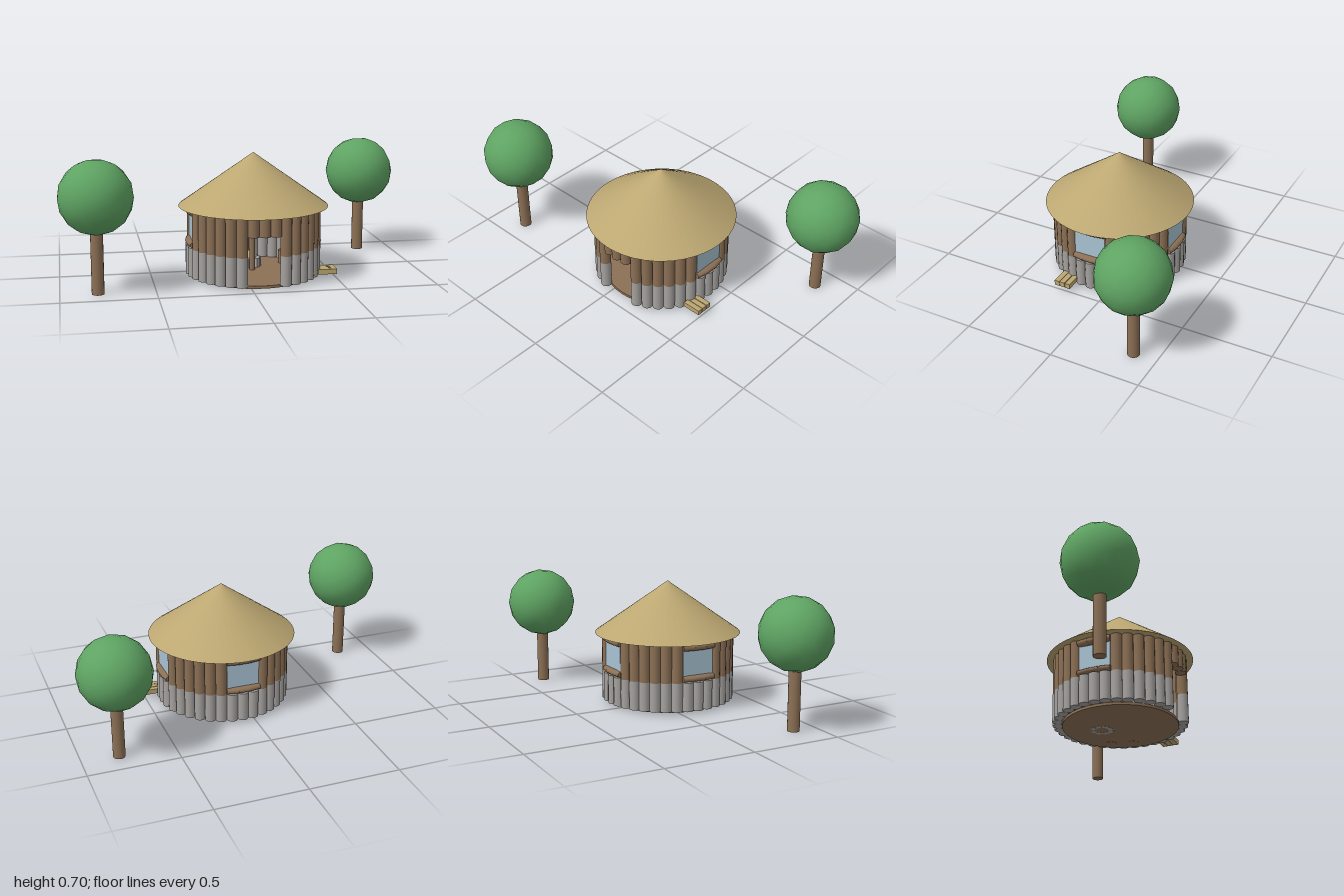
import * as THREE from 'three';

const mat = (name, color) => {
  const m = new THREE.MeshStandardMaterial({ color });
  m.name = name;
  return m;
};

export function createModel() {
  const wood = mat('brown wood', 0x8c7055);
  const stone = mat('grey stone', 0xa5a29f);
  const straw = mat('straw', 0xbca772);
  const leaf = mat('leaf green', 0x5fa463);
  const glass = mat('window glass', 0xa9c3d3);

  const model = new THREE.Group();
  model.name = 'roundHutWithTrees';
  const hut = new THREE.Group();
  hut.name = 'hut';
  hut.position.set(0.065, 0, 0.1);
  model.add(hut);

  const add = (parent, name, geometry, material, x, y, z) => {
    const mesh = new THREE.Mesh(geometry, material);
    mesh.name = name;
    mesh.position.set(x, y, z);
    parent.add(mesh);
    return mesh;
  };
  const post = (parent, name, material, r, y0, y1, x, z, sides = 12) =>
    add(parent, name, new THREE.CylinderGeometry(r, r, y1 - y0, sides), material, x, (y0 + y1) / 2, z);

  // Floor slab
  post(hut, 'floor', wood, 0.32, 0.001, 0.016, 0, 0, 48);

  // Wall of upright logs: stone-coloured foot, wooden top, gaps for a door and three windows
  const COUNT = 36, RING = 0.344, LOG = 0.031;
  const BASE = 0.016, MID = 0.178, SILL = 0.215, DOOR = 0.288, LINTEL = 0.35, TOP = 0.394;
  for (let i = 0; i < COUNT; i++) {
    const a = (i / COUNT) * Math.PI * 2; // 0 is the front
    const x = Math.sin(a) * RING, z = Math.cos(a) * RING;
    const fromOpening = Math.min(i % 9, 9 - (i % 9));
    const inOpening = fromOpening <= 1;
    const inDoor = inOpening && (i <= 1 || i >= COUNT - 1);
    if (inDoor) {
      post(hut, 'doorLintelLog', wood, LOG, DOOR, TOP, x, z);
      continue;
    }
    post(hut, 'footLog', stone, LOG, BASE, MID, x, z);
    if (!inOpening) post(hut, 'wallLog', wood, LOG, MID, TOP, x, z);
    else {
      // Short lying logs below and above each window
      for (const [name, y0, y1] of [['windowSill', MID, SILL], ['windowLintel', LINTEL, TOP]]) {
        const g = new THREE.CylinderGeometry(1, 1, 0.065, 14).rotateZ(Math.PI / 2);
        g.scale(1, (y1 - y0) / 2, LOG);
        add(hut, name, g, wood, x, (y0 + y1) / 2, z).rotation.y = a;
      }
    }
  }

  // Window panes: right, back and left
  for (let k = 1; k <= 3; k++) {
    const a = (k * Math.PI) / 2;
    add(hut, 'windowPane', new THREE.BoxGeometry(0.182, LINTEL - SILL + 0.01, 0.008), glass,
      Math.sin(a) * 0.342, (SILL + LINTEL) / 2, Math.cos(a) * 0.342).rotation.y = a;
  }

  // Conical thatched roof
  add(hut, 'roof', new THREE.ConeGeometry(0.412, 0.292, 48), straw, 0, 0.392 + 0.146, 0);

  // Hearth: ring of stones, fire and a roasting spit
  const hearth = new THREE.Group();
  hearth.name = 'hearth';
  hearth.position.set(0, 0, -0.11);
  hut.add(hearth);
  for (let i = 0; i < 8; i++) {
    const a = (i / 8) * Math.PI * 2;
    add(hearth, 'hearthStone', new THREE.BoxGeometry(0.034, 0.068, 0.026), stone,
      Math.sin(a) * 0.05, 0.034, Math.cos(a) * 0.05).rotation.y = a;
  }
  add(hearth, 'fire', new THREE.ConeGeometry(0.034, 0.07, 10), straw, 0, 0.08, 0);
  for (const s of [-1, 1]) post(hearth, 'spitPost', wood, 0.015, 0.016, 0.25, 0, s * 0.09);
  add(hearth, 'spitBar', new THREE.CylinderGeometry(0.008, 0.008, 0.22, 8).rotateX(Math.PI / 2),
    straw, 0, 0.245, 0);

  // Bed along the left-hand side of the room
  const bed = new THREE.Group();
  bed.name = 'bed';
  bed.position.set(-0.235, 0, 0);
  hut.add(bed);
  add(bed, 'bedTop', new THREE.BoxGeometry(0.12, 0.025, 0.26), wood, 0, 0.1, 0);
  add(bed, 'bedShelf', new THREE.BoxGeometry(0.12, 0.015, 0.26), wood, 0, 0.045, 0);
  // Two stools opposite
  for (const [x, z] of [[0.25, -0.03], [0.21, -0.15]]) post(hut, 'stool', wood, 0.035, 0, 0.09, x, z);

  // Firewood stacked outside
  for (const z of [0.262, 0.23, 0.197])
    add(model, 'firewood', new THREE.BoxGeometry(0.105, 0.028, 0.029), straw, 0.45, 0.037, z);

  // Trees
  for (const [x, z, y] of [[-0.803, 0.367, 0.512], [0.8, -0.37, 0.484]]) {
    const tree = new THREE.Group();
    tree.name = 'tree';
    tree.position.set(x, 0, z);
    model.add(tree);
    post(tree, 'trunk', wood, 0.033, 0, y - 0.1, 0, 0, 16);
    add(tree, 'crown', new THREE.IcosahedronGeometry(0.197, 2), leaf, 0, y, 0);
  }
  return model;
}
